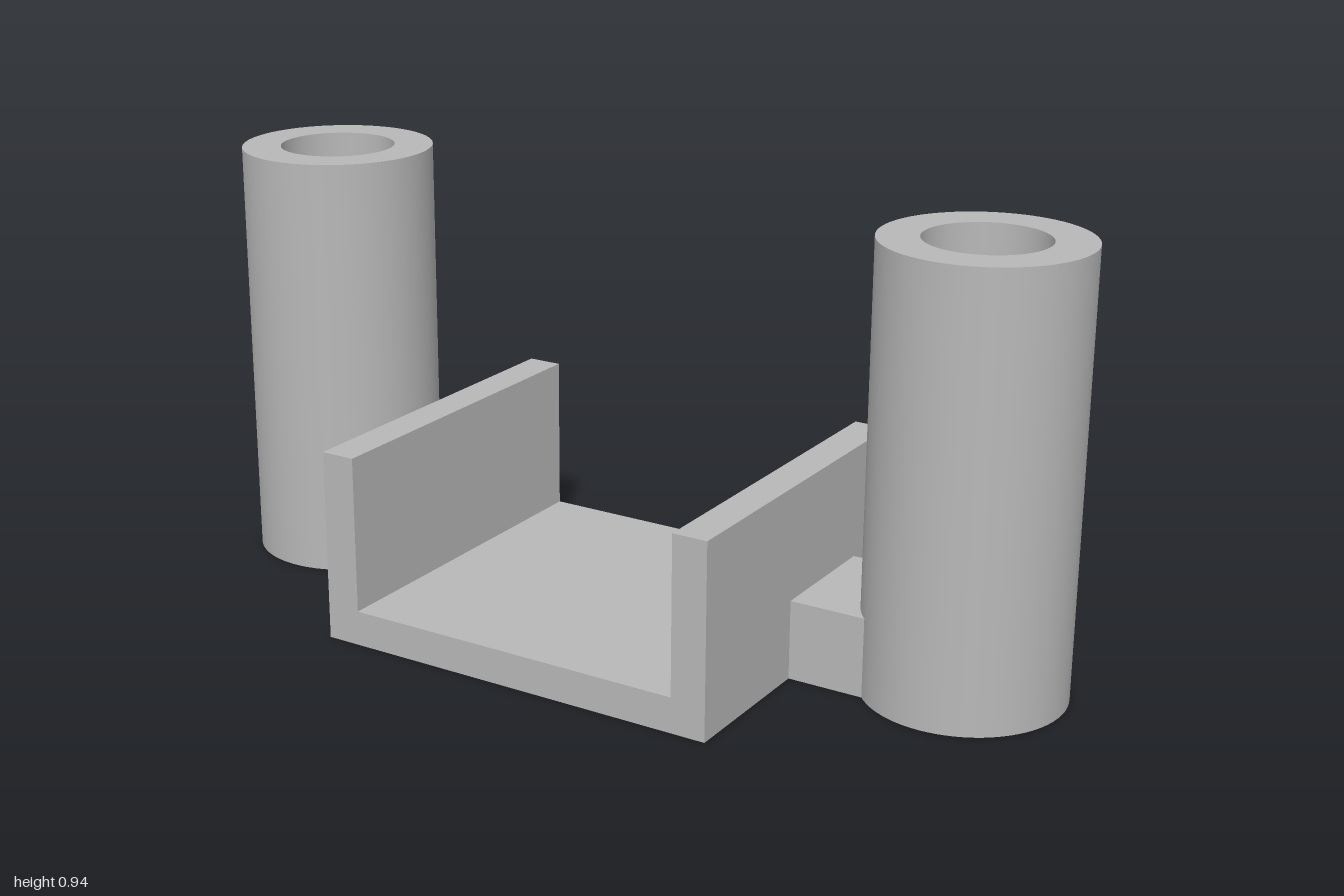
import * as THREE from 'three';
import { mergeGeometries } from 'three/addons/utils/BufferGeometryUtils.js';

const TUBE = { x: 0.787, z: -0.1, outer: 0.213, inner: 0.127, height: 0.945 };
const BRACKET = { halfWidth: 0.462, wall: 0.077, height: 0.42, depth: 0.77 };
const ARM = { halfDepth: 0.142, height: 0.173 };

// Hollow tube: each side of the profile is its own lathe, so the rims stay sharp
function tubeGeometry({ outer, inner, height }) {
  const corners = [[outer, 0], [outer, height], [inner, height], [inner, 0]]
    .map(([r, y]) => new THREE.Vector2(r, y));
  return mergeGeometries(corners.map((p, i) =>
    new THREE.LatheGeometry([p, corners[(i + 1) % 4]], 72)));
}

// U-shaped channel, open at the front and back
function bracketGeometry({ halfWidth: w, wall: t, height: h, depth }) {
  const shape = new THREE.Shape([
    [-w, 0], [w, 0], [w, h], [w - t, h], [w - t, t], [t - w, t], [t - w, h], [-w, h],
  ].map(([x, y]) => new THREE.Vector2(x, y)));
  return new THREE.ExtrudeGeometry(shape, { depth, bevelEnabled: false })
    .translate(0, 0, -depth / 2);
}

// Connecting block whose far end is hollowed to fit round the tube
function armGeometry(side) {
  const d = ARM.halfDepth;
  const angle = Math.asin(d / TUBE.outer);
  const points = [new THREE.Vector2(side * BRACKET.halfWidth, d),
    new THREE.Vector2(side * BRACKET.halfWidth, -d)];
  for (let i = 0; i <= 16; i++) {
    const a = angle * (i / 8 - 1);
    points.push(new THREE.Vector2(
      side * (TUBE.x - TUBE.outer * Math.cos(a)), TUBE.outer * Math.sin(a)));
  }
  return new THREE.ExtrudeGeometry(new THREE.Shape(points), { depth: ARM.height, bevelEnabled: false })
    .rotateX(-Math.PI / 2);
}

export function createModel() {
  const model = new THREE.Group();
  model.name = 'tubeHolder';
  const grey = new THREE.MeshStandardMaterial({ color: 0xb8b8b8 });
  grey.name = 'grey';

  const add = (name, geometry, x = 0, z = 0) => {
    const mesh = new THREE.Mesh(geometry, grey);
    mesh.name = name;
    mesh.position.set(x, 0, z);
    model.add(mesh);
  };

  add('channelBracket', bracketGeometry(BRACKET));
  for (const [side, label] of [[1, 'left'], [-1, 'right']]) {
    add(label + 'Tube', tubeGeometry(TUBE), side * TUBE.x, TUBE.z);
    add(label + 'Arm', armGeometry(side), 0, TUBE.z);
  }
  return model;
}
